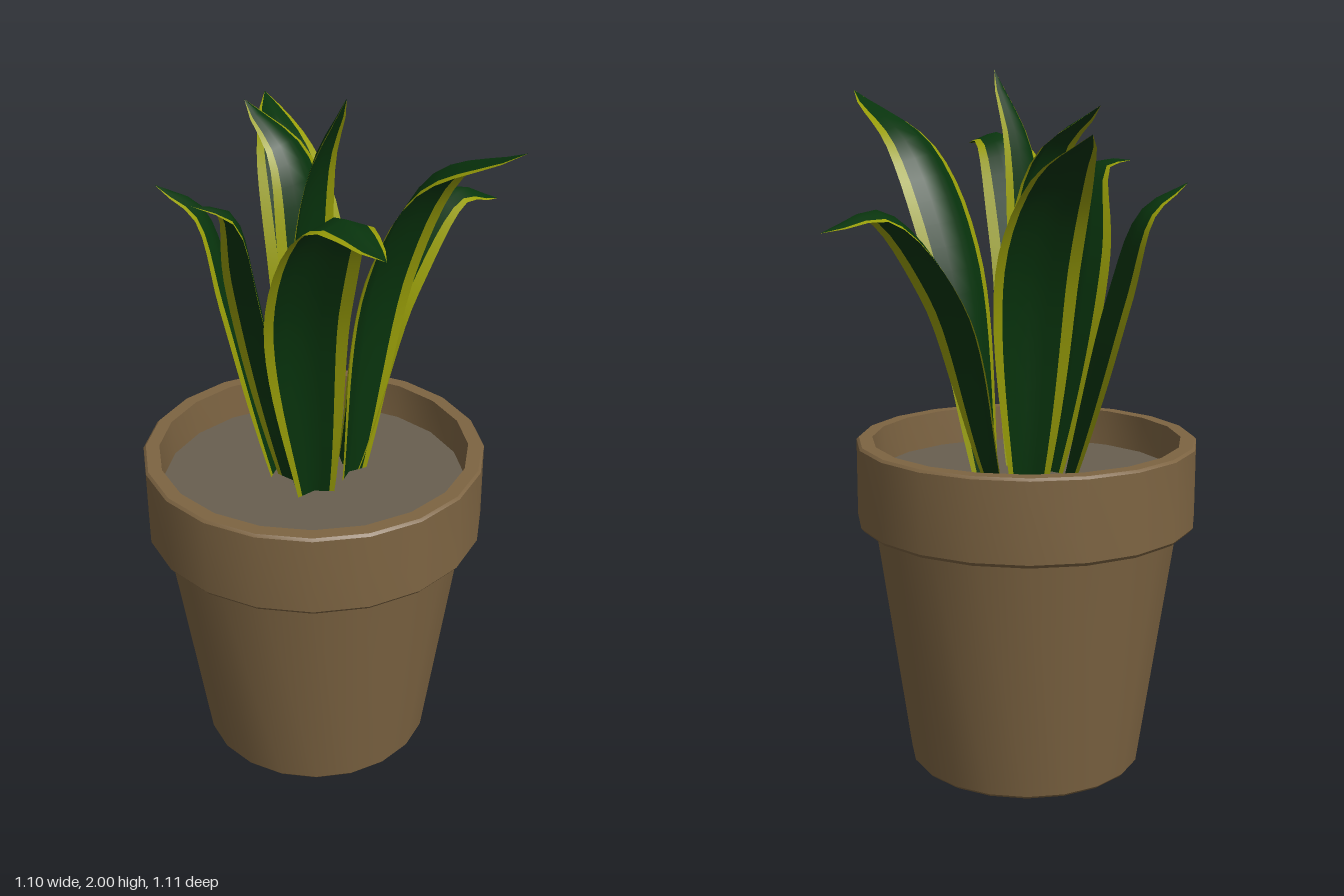
import * as THREE from 'three';
import { toCreasedNormals } from 'three/addons/utils/BufferGeometryUtils.js';

const mat = (name, color, side = THREE.FrontSide) => {
  const m = new THREE.MeshStandardMaterial({ color, side });
  m.name = name;
  return m;
};

// Leaf blade columns across the width; the outermost strips are the pale margin
const COLS = [-1, -0.75, -0.4, 0, 0.4, 0.75, 1];
const ROWS = 20;
const ROOT_Y = 0.84;
const LEAF_WIDTH = 0.235;
const ARCH = 0.4;

// Relative width from root (0) to tip (1): swells to the middle, then tapers to a point
const widthAt = (t) => (t < 0.55
  ? 0.43 + 0.57 * Math.sin((Math.PI / 2) * (t / 0.55))
  : Math.cos((Math.PI / 2) * ((t - 0.55) / 0.45)) ** 0.75);

// Sweep a creased blade from its root over a middle and a bend to its tip; yaw turns it about y
function leafGeometry([rootX, rootZ], middle, bend, tip, yaw = 0) {
  const points = [[rootX, ROOT_Y, rootZ], middle, bend, tip].map((p) => new THREE.Vector3(...p));
  const curve = new THREE.CatmullRomCurve3(points);
  // The blade is level across, at right angles to the way it leans
  const side = new THREE.Vector3(tip[2] - rootZ, 0, rootX - tip[0]).normalize();
  side.applyAxisAngle(new THREE.Vector3(0, 1, 0), yaw);
  const pos = [];
  for (let r = 0; r <= ROWS; r++) {
    const t = r / ROWS;
    const centre = curve.getPointAt(t);
    const normal = side.clone().cross(curve.getTangentAt(t)).normalize();
    const half = (LEAF_WIDTH / 2) * widthAt(t);
    for (const u of COLS) {
      const p = centre.clone()
        .addScaledVector(side, u * half)
        .addScaledVector(normal, Math.abs(u) * half * ARCH);
      pos.push(p.x, p.y, p.z);
    }
  }
  const n = COLS.length;
  const green = [], yellow = [];
  for (let r = 0; r < ROWS; r++) {
    for (let c = 0; c < n - 1; c++) {
      const a = r * n + c, b = a + 1, d = a + n, e = d + 1;
      (c === 0 || c === n - 2 ? yellow : green).push(a, b, e, a, e, d);
    }
  }
  const g = new THREE.BufferGeometry();
  g.setAttribute('position', new THREE.Float32BufferAttribute(pos, 3));
  g.setIndex([...green, ...yellow]);
  g.addGroup(0, green.length, 0);
  g.addGroup(green.length, yellow.length, 1);
  g.computeVertexNormals();
  return g;
}

export function createModel() {
  const model = new THREE.Group();
  model.name = 'pottedPlant';
  const clay = mat('clay', 0x7d6442);
  const soilMat = mat('soil', 0x685f50);
  const leafMats = [
    mat('leafGreen', 0x08340d, THREE.DoubleSide),
    mat('leafMargin', 0x989d08, THREE.DoubleSide),
  ];

  // Tapered pot with a thick collar and a hollow top
  const potGroup = new THREE.Group();
  potGroup.name = 'potAndSoil';
  potGroup.position.set(-0.06, 0, -0.065);
  const profile = [
    [0, 0], [0.335, 0], [0.342, 0.008], [0.445, 0.725], [0.484, 0.725], [0.492, 0.735],
    [0.492, 0.96], [0.485, 0.967], [0.446, 0.967], [0.44, 0.84],
  ].map(([x, y]) => new THREE.Vector2(x, y));
  const pot = new THREE.Mesh(toCreasedNormals(new THREE.LatheGeometry(profile, 20), 0.5), clay);
  pot.name = 'pot';

  // Soil surface just below the rim
  const soil = new THREE.Mesh(new THREE.CircleGeometry(0.443, 20).rotateX(-Math.PI / 2), soilMat);
  soil.name = 'soil';
  soil.position.y = 0.86;
  potGroup.add(pot, soil);

  // Leaves with pale margins: root (x, z), then middle, bend, tip and any turn
  const leaves = new THREE.Group();
  leaves.name = 'leaves';
  const addLeaf = (name, ...path) => {
    const leaf = new THREE.Mesh(leafGeometry(...path), leafMats);
    leaf.name = name;
    leaves.add(leaf);
  };
  addLeaf('leftLeaf', [0.04, -0.04], [0.21, 1.4, -0.02], [0.41, 1.635, 0.07], [0.55, 1.58, 0.155]);
  addLeaf('frontLeaf', [0.02, 0], [0.05, 1.5, 0.075], [0.04, 1.81, 0.24], [-0.04, 1.95, 0.555]);
  addLeaf('frontRightLeaf', [-0.12, -0.02], [-0.24, 1.5, 0.04], [-0.345, 1.815, 0.22], [-0.455, 1.79, 0.44]);
  addLeaf('rightLeaf', [-0.11, -0.1], [-0.23, 1.5, -0.12], [-0.32, 1.745, -0.125], [-0.36, 1.75, -0.22]);
  addLeaf('backLeftLeaf', [0.06, -0.15], [0.135, 1.5, -0.22], [0.21, 1.74, -0.35], [0.34, 1.83, -0.53]);
  addLeaf('centreLeaf', [-0.08, -0.09], [-0.08, 1.4, -0.11], [-0.075, 1.8, -0.055], [-0.06, 2, 0.05]);
  addLeaf('backLeaf', [0.03, -0.11], [0.05, 1.5, -0.12], [0.05, 1.79, -0.2], [0.05, 1.9, -0.37]);
  addLeaf('backRightLeaf', [-0.08, -0.18], [-0.09, 1.4, -0.315], [-0.1, 1.63, -0.41], [-0.19, 1.7, -0.5], 0.4);

  model.add(potGroup, leaves);
  return model;
}
